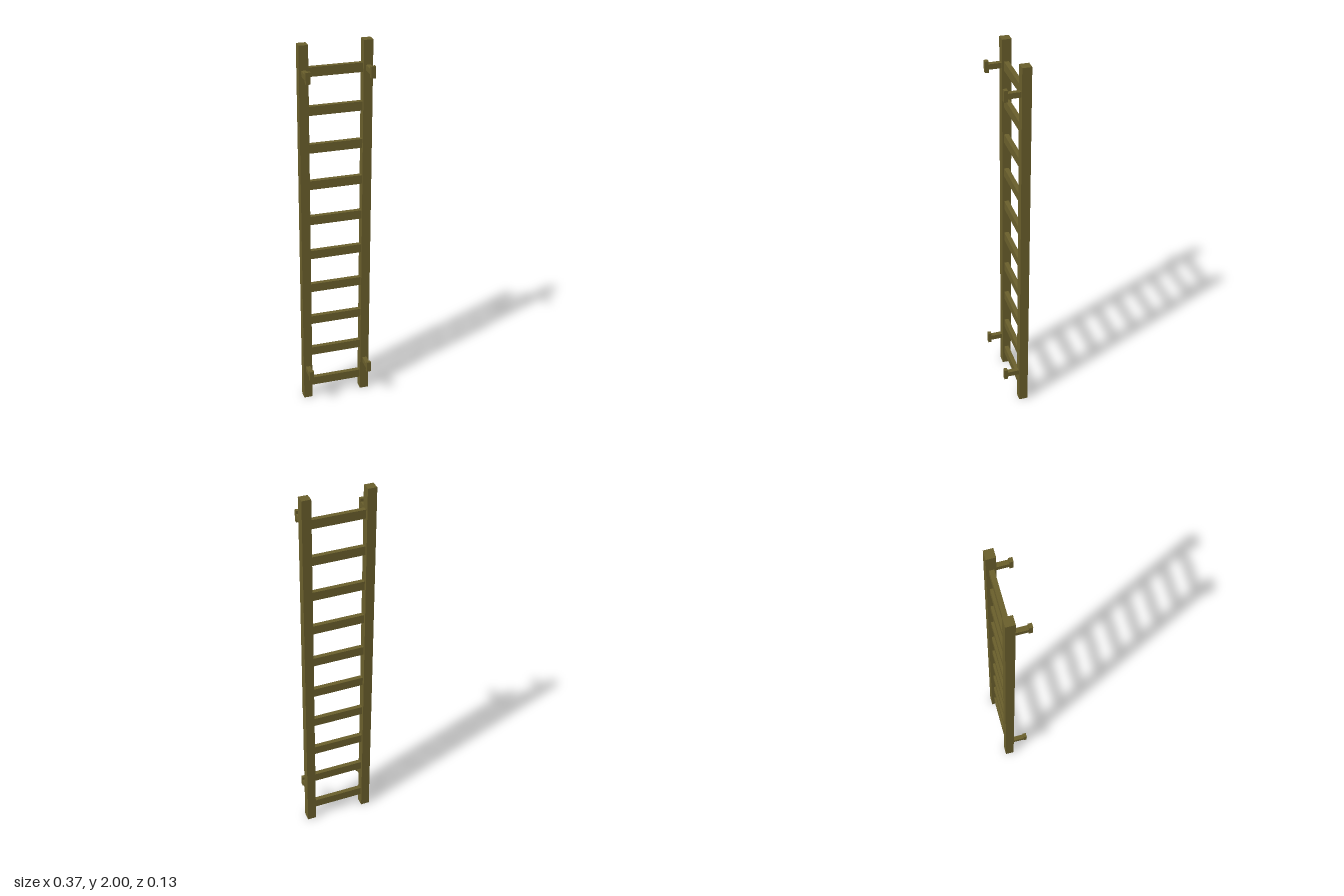
import * as THREE from 'three';

export function createModel() {
  const group = new THREE.Group();
  const olive = new THREE.MeshStandardMaterial({ color: 0x6a5f2c });
  olive.name = 'olive';

  const box = (name, w, h, d, x, y, z) => {
    const mesh = new THREE.Mesh(new THREE.BoxGeometry(w, h, d), olive);
    mesh.name = name;
    mesh.position.set(x, y, z);
    group.add(mesh);
  };

  const railX = 0.161, railZ = -0.042, railSize = 0.047;

  for (const [side, s] of [['left', 1], ['right', -1]]) {
    // Upright rail
    box(side + 'Rail', railSize, 2, railSize, s * railX, 1, railZ);
    // Mounting brackets: a stem ending in a taller plate
    for (const [level, y] of [['Lower', 0.188], ['Upper', 1.863]]) {
      box(side + level + 'BracketStem', 0.0235, 0.028, 0.063, s * railX, y, 0.0125);
      box(side + level + 'BracketPlate', 0.0235, 0.059, 0.0185, s * railX, y, 0.0533);
    }
  }

  // Ten rungs between the rails
  for (let i = 0; i < 10; i++) {
    box('rung' + (i + 1), 2 * railX - railSize, 0.047, 0.0235, 0, 0.093 + i * 0.1967, -0.04);
  }

  return group;
}
